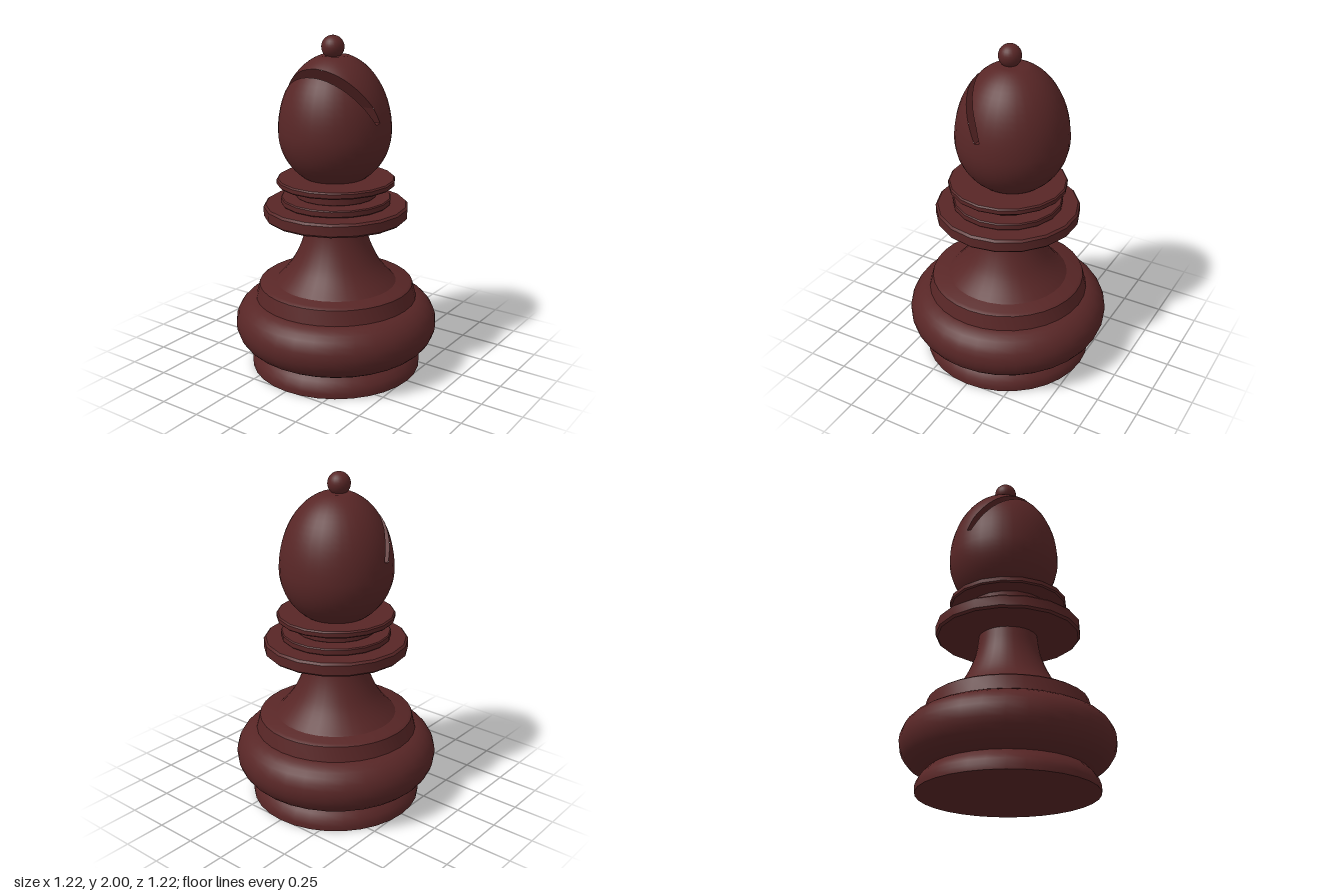
import * as THREE from 'three';
import { toCreasedNormals } from 'three/addons/utils/BufferGeometryUtils.js';

const wood = new THREE.MeshStandardMaterial({ color: 0x582626 });
wood.name = 'dark mahogany';

function part(name, geometry) {
  const mesh = new THREE.Mesh(geometry, wood);
  mesh.name = name;
  return mesh;
}

// Turned part from [radius, height] pairs, listed bottom to top
function turned(name, profile, segments = 32, crease = 0.6) {
  const points = profile.map(([r, y]) => new THREE.Vector2(r, y));
  return part(name, toCreasedNormals(new THREE.LatheGeometry(points, segments, Math.PI / 2), crease));
}

// Flat ring with a small rounded rim
function disc(name, r, y0, y1, bevel) {
  return turned(name, [
    [0, y0], [r - bevel, y0], [r, y0 + bevel], [r, y1 - bevel], [r - bevel, y1], [0, y1],
  ], 18);
}

// Egg-shaped head, in coordinates centred on its widest level
const HEAD_R = 0.331, HEAD_UP = 0.45, HEAD_DOWN = 0.33, HEAD_TOP = 0.435;
const headRadius = (y) => HEAD_R * Math.sqrt(Math.max(0, 1 - (y / (y > 0 ? HEAD_UP : HEAD_DOWN)) ** 2));

// Outline of the slanted slot as [z, y], open at the outer end
const SLOT = [[0.271, 0.414], [0.058, 0.077], [0.026, 0.085], [0.058, 0.17], [0.223, 0.447]];

// Keep the side of a polygon where sign * distance is positive
function clip(poly, distance, sign) {
  const out = [];
  poly.forEach((a, i) => {
    const b = poly[(i + 1) % poly.length];
    const da = sign * distance(a), db = sign * distance(b);
    if (da >= 0) out.push(a);
    if (da * db < 0) out.push(a.map((v, k) => v + (b[k] - v) * da / (da - db)));
  });
  return out;
}

function headShell() {
  const points = [];
  const low = -1.12, high = Math.asin(HEAD_TOP / HEAD_UP);
  for (let i = 0; i <= 24; i++) {
    const t = low + (high - low) * i / 24;
    points.push(new THREE.Vector2(HEAD_R * Math.cos(t), Math.sin(t) * (t > 0 ? HEAD_UP : HEAD_DOWN)));
  }
  points.push(new THREE.Vector2(0, HEAD_TOP));
  const lathe = new THREE.LatheGeometry(points, 32).toNonIndexed();
  const p = lathe.attributes.position, n = lathe.attributes.normal;
  const position = [], normal = [];
  const emit = (poly) => {
    for (let i = 1; i + 1 < poly.length; i++) {
      for (const v of [poly[0], poly[i], poly[i + 1]]) {
        position.push(v[0], v[1], v[2]);
        normal.push(v[3], v[4], v[5]);
      }
    }
  };
  // Remove everything that lies inside all the slot walls
  for (let i = 0; i < p.count; i += 3) {
    let poly = [0, 1, 2].map((k) => [
      p.getX(i + k), p.getY(i + k), p.getZ(i + k), n.getX(i + k), n.getY(i + k), n.getZ(i + k),
    ]);
    for (let s = 0; s < SLOT.length - 1 && poly.length > 2; s++) {
      const [z0, y0] = SLOT[s], [z1, y1] = SLOT[s + 1];
      const distance = (v) => (v[2] - z0) * (y1 - y0) - (v[1] - y0) * (z1 - z0);
      emit(clip(poly, distance, -1));
      poly = clip(poly, distance, 1);
    }
  }
  const geometry = new THREE.BufferGeometry();
  geometry.setAttribute('position', new THREE.Float32BufferAttribute(position, 3));
  geometry.setAttribute('normal', new THREE.Float32BufferAttribute(normal, 3));
  return geometry;
}

// Flat walls inside the slot, as wide as the head at each point
function slotWalls() {
  const position = [], steps = 48;
  const halfWidth = ([z, y]) => 0.997 * Math.sqrt(Math.max(0, headRadius(y) ** 2 - z * z));
  for (let s = 0; s < SLOT.length - 1; s++) {
    const at = (t) => SLOT[s].map((v, k) => v + (SLOT[s + 1][k] - v) * t);
    for (let i = 0; i < steps; i++) {
      const a = at(i / steps), b = at((i + 1) / steps);
      const wa = halfWidth(a), wb = halfWidth(b);
      if (wa + wb === 0) continue;
      const corners = [[-wa, a], [wa, a], [wb, b], [-wb, b]];
      for (const k of [0, 1, 2, 0, 2, 3]) {
        const [x, [z, y]] = corners[k];
        position.push(x, y, z);
      }
    }
  }
  const geometry = new THREE.BufferGeometry();
  geometry.setAttribute('position', new THREE.Float32BufferAttribute(position, 3));
  geometry.computeVertexNormals();
  return geometry;
}

export function createModel() {
  const model = new THREE.Group();
  model.name = 'chessBishop';

  // Foot and wide rounded base
  model.add(turned('foot', [
    [0, 0], [0.513, 0], [0.515, 0.03], [0.505, 0.06], [0.485, 0.09], [0.45, 0.125], [0, 0.125],
  ]));
  const bulge = [[0, 0.123]];
  for (let i = 0; i <= 14; i++) {
    const t = -Math.PI / 2 + Math.PI * i / 14;
    bulge.push([0.45 + 0.16 * Math.cos(t), 0.282 + 0.159 * Math.sin(t)]);
  }
  bulge.push([0, 0.441]);
  model.add(turned('roundedBase', bulge));
  model.add(turned('baseCollar', [
    [0.3, 0.43], [0.485, 0.44], [0.463, 0.525], [0.445, 0.537], [0, 0.54],
  ]));

  // Flared neck
  const curve = new THREE.SplineCurve([
    [0.365, 0.535], [0.305, 0.6], [0.255, 0.67], [0.212, 0.76], [0.185, 0.85], [0.172, 0.945],
  ].map(([r, y]) => new THREE.Vector2(r, y)));
  model.add(turned('neck', curve.getPoints(16).map((v) => [v.x, v.y])));

  // Stacked rings under the head
  model.add(disc('wideRing', 0.428, 0.94, 1.02, 0.012));
  model.add(disc('middleRing', 0.326, 1.025, 1.065, 0.006));
  model.add(disc('ringSpacer', 0.238, 1.07, 1.137, 0.002));
  model.add(disc('upperRing', 0.349, 1.138, 1.177, 0.008));

  // Slotted head with a ball on top
  const head = new THREE.Group();
  head.name = 'head';
  head.add(part('headShell', headShell()), part('slotWalls', slotWalls()));
  head.position.set(-0.02, 1.45, -0.018);
  model.add(head);
  const ball = part('topBall', new THREE.SphereGeometry(0.066, 24, 16));
  ball.position.set(-0.022, 1.934, 0);
  model.add(ball);
  return model;
}
